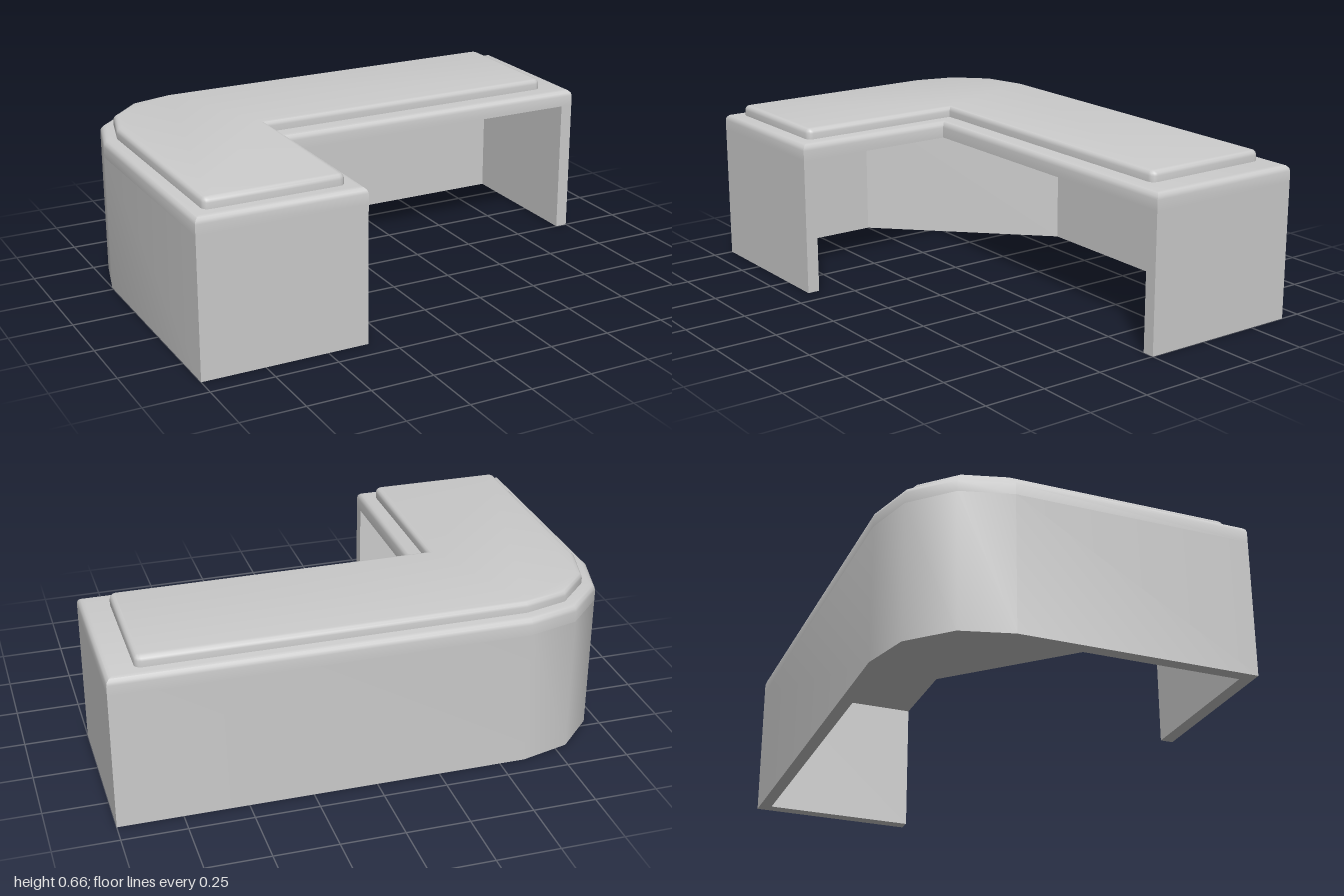
import * as THREE from 'three';
import { toCreasedNormals } from 'three/addons/utils/BufferGeometryUtils.js';

const material = new THREE.MeshStandardMaterial({ color: 0xcccccc });

// Moves a closed [x, z] outline inwards with mitred corners.
function inset(points, d) {
  const n = points.length;
  const normal = (a, b) => new THREE.Vector2(a[1] - b[1], b[0] - a[0]).normalize();
  return points.map((p, i) => {
    const n1 = normal(points[(i + n - 1) % n], p);
    const n2 = normal(p, points[(i + 1) % n]);
    const k = d / (1 + n1.dot(n2));
    return [p[0] + (n1.x + n2.x) * k, p[1] + (n1.y + n2.y) * k];
  });
}

// Closed solid made of outline rings; each level is [inset, y].
function loft(outline, levels) {
  const pos = [];
  const rings = levels.map(([d, y]) => inset(outline, d).map(([x, z]) => [x, y, z]));
  const n = outline.length;
  for (let r = 0; r < rings.length - 1; r++) {
    const a = rings[r], b = rings[r + 1];
    for (let i = 0; i < n; i++) {
      const j = (i + 1) % n;
      pos.push(...a[i], ...b[j], ...a[j], ...a[i], ...b[i], ...b[j]);
    }
  }
  const cap = (ring, up) => {
    const flat = ring.map((p) => new THREE.Vector2(p[0], p[2]));
    for (const t of THREE.ShapeUtils.triangulateShape(flat, [])) {
      const [a, b, c] = t.map((i) => ring[i]);
      const ny = (b[2] - a[2]) * (c[0] - a[0]) - (b[0] - a[0]) * (c[2] - a[2]);
      if (ny > 0 === up) pos.push(...a, ...b, ...c);
      else pos.push(...a, ...c, ...b);
    }
  };
  cap(rings[0], false);
  cap(rings[rings.length - 1], true);
  const geo = new THREE.BufferGeometry();
  geo.setAttribute('position', new THREE.Float32BufferAttribute(pos, 3));
  return toCreasedNormals(geo, 0.7);
}

// Quarter arc of the back corner in 30 degree steps.
function cornerArc(cx, cz, r, steps = 3, start = Math.PI) {
  return Array.from({ length: steps + 1 }, (_, i) => {
    const t = start + (i / steps) * Math.PI / 2;
    return [cx + r * Math.cos(t), cz + r * Math.sin(t)];
  });
}

// Levels that end in a rounded top edge.
function roundedLevels(y0, y1, r, steps = 3) {
  const levels = [[0, y0]];
  for (let i = 0; i <= steps; i++) {
    const t = (i / steps) * Math.PI / 2;
    levels.push([r * (1 - Math.cos(t)), y1 - r + r * Math.sin(t)]);
  }
  return levels;
}

export function createModel() {
  const group = new THREE.Group();
  const add = (name, geo) => {
    const mesh = new THREE.Mesh(geo, material);
    mesh.name = name;
    group.add(mesh);
  };
  const W = 0.667, ix = -0.335, under = 0.55, top = 0.617, wall = 0.05;
  const outer = [[ix, W], [-1, W], ...cornerArc(-0.6, -0.267, 0.4), [1, -W], [1, 0]];

  // Outer walls, end panels and the solid corner with its diagonal inner face
  const inner = [
    [1 - wall, 0], [1 - wall, -W + wall], [-0.335, -W + wall],
    [-1 + wall, 0], [-1 + wall, W - wall], [ix, W - wall],
  ];
  add('walls', loft([...outer, ...inner], [[0, 0], [0, under]]));

  // L-shaped counter with a rounded rim
  add('counter', loft([...outer, [ix, 0]], roundedLevels(under, top, 0.025)));

  // Raised worktop with rounded ends
  const r = 0.025, x0 = -0.945, x1 = 0.888, xi = -0.395, z0 = -0.612, z1 = -0.075, zf = 0.61;
  const worktop = [
    ...cornerArc(xi - r, zf - r, r, 3, 0),
    ...cornerArc(x0 + r, zf - r, r, 3, Math.PI / 2),
    ...cornerArc(-0.6, -0.267, 0.345),
    ...cornerArc(x1 - r, z0 + r, r, 3, -Math.PI / 2),
    ...cornerArc(x1 - r, z1 - r, r, 3, 0),
    [xi, z1],
  ];
  add('worktop', loft(worktop, roundedLevels(top - 0.005, 0.66, 0.02)));
  return group;
}
